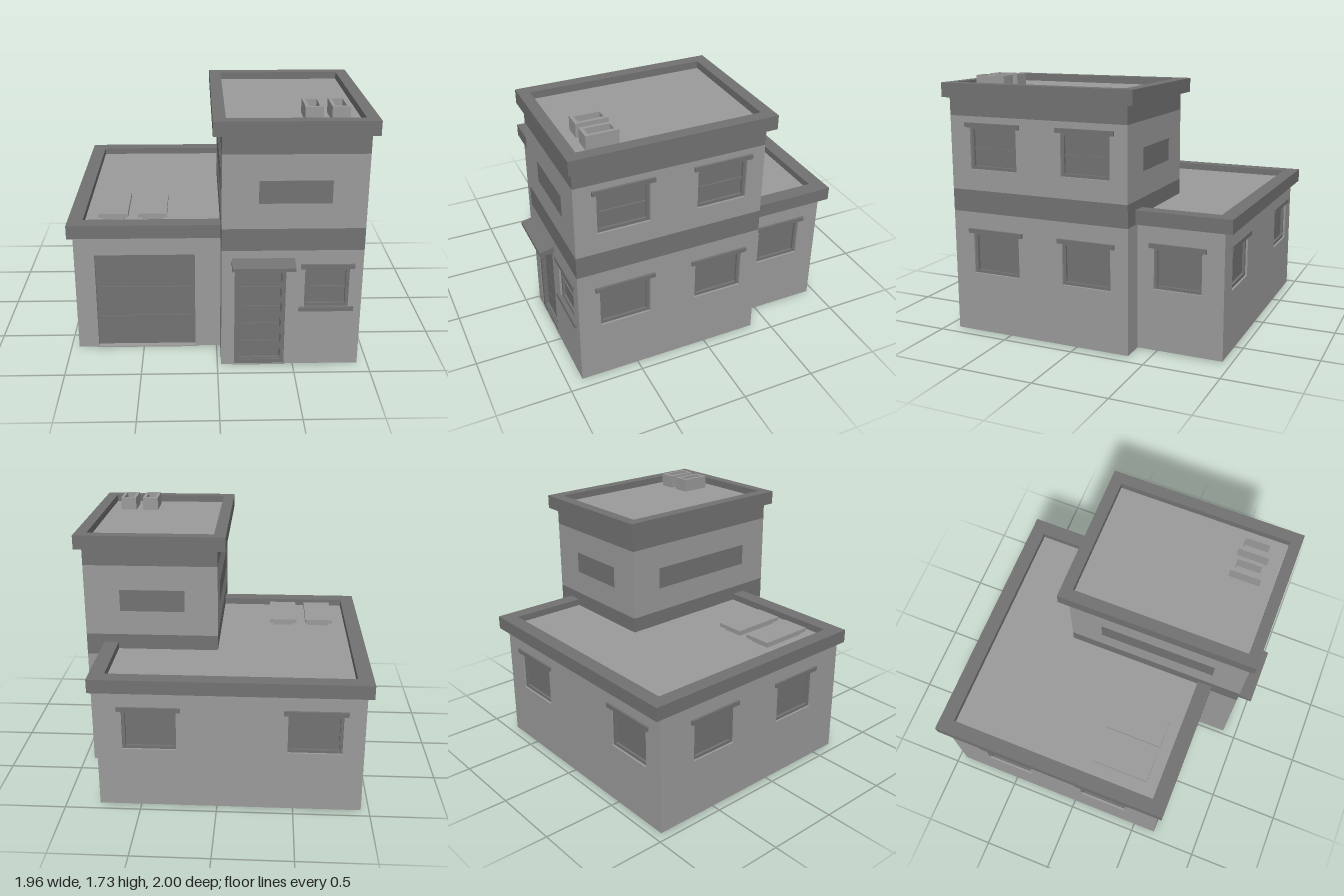
import * as THREE from 'three';

const mat = (name, color) => {
  const m = new THREE.MeshStandardMaterial({ color, side: THREE.DoubleSide });
  m.name = name;
  return m;
};

export function createModel() {
  const light = mat('light grey', 0x9a9a9a);
  const dark = mat('dark grey', 0x727272);
  const house = new THREE.Group();
  house.name = 'house';

  const add = (parent, name, geometry, material) => {
    const mesh = new THREE.Mesh(geometry, material);
    mesh.name = name;
    parent.add(mesh);
    return mesh;
  };
  // Box given by its min and max on each axis
  const box = (parent, name, x0, x1, y0, y1, z0, z1, material) => {
    const g = new THREE.BoxGeometry(x1 - x0, y1 - y0, z1 - z0);
    g.translate((x0 + x1) / 2, (y0 + y1) / 2, (z0 + z1) / 2);
    return add(parent, name, g, material);
  };
  // Rectangles are [u0, u1, v0, v1]
  const rect = (r, Type = THREE.Shape) => new Type([[r[0], r[2]], [r[1], r[2]], [r[1], r[3]], [r[0], r[3]]]
    .map(([a, b]) => new THREE.Vector2(a, b)));
  const holed = (outer, holes) => {
    const s = rect(outer);
    for (const h of holes) s.holes.push(rect(h, THREE.Path));
    return s;
  };
  const ring = (outer, inner, z0, depth) => {
    const g = new THREE.ExtrudeGeometry(holed(outer, [inner]), { depth, bevelEnabled: false });
    return g.translate(0, 0, z0);
  };
  const grow = (r, d) => [r[0] - d, r[1] + d, r[2] - d, r[3] + d];

  // A side faces local +z; u runs along local x
  const side = (name, turn, distance) => {
    const g = new THREE.Group();
    g.name = name;
    g.rotation.y = turn * Math.PI / 2;
    const out = new THREE.Vector3(0, 0, distance).applyEuler(g.rotation);
    g.position.copy(out);
    house.add(g);
    return g;
  };
  const wall = (s, r, holes, material = light) =>
    add(s, material === dark ? 'wallBand' : 'wall', new THREE.ShapeGeometry(holed(r, holes)), material);
  const reveal = (s, r) => add(s, 'reveal', ring(grow(r, 0.008), r, -0.04, 0.039), light);

  // Recessed window with frame, glass and lintel
  const windowUnit = (s, r, { bar = false, sill = false } = {}) => {
    const [a, b, c, d] = r;
    reveal(s, r);
    add(s, 'windowFrame', ring(r, grow(r, -0.02), -0.035, 0.02), dark);
    box(s, 'windowGlass', a, b, c, d, -0.04, -0.032, dark);
    if (bar) box(s, 'windowBar', a + 0.02, b - 0.02, (c + d) / 2 - 0.012, (c + d) / 2, -0.033, -0.022, dark);
    box(s, 'lintel', a - 0.03, b + 0.03, d - 0.002, d + 0.028, -0.03, 0.015, dark);
    if (sill) box(s, 'windowSill', a - 0.035, b + 0.035, c - 0.026, c + 0.002, -0.03, 0.015, dark);
  };
  const strip = (s, r) => box(s, 'windowStrip', ...r, -0.003, 0.002, dark);
  // Door leaf of stacked panels with fine grooves
  const panels = (s, name, r, seams, z) => {
    box(s, name + 'Back', ...r, z - 0.01, z, dark);
    const ys = [r[2], ...seams, r[3]];
    for (let i = 0; i + 1 < ys.length; i++)
      box(s, name + 'Panel', r[0], r[1], ys[i] + 0.003, ys[i + 1] - 0.001, z, z + 0.008, dark);
  };

  // Tower walls: lower floor, band, upper floor, band
  const tower = (name, turn, dist, u0, u1, low = [], high = []) => {
    const s = side(name, turn, dist);
    wall(s, [u0, u1, 0, 0.83], low);
    wall(s, [u0, u1, 0.83, 0.98], [], dark);
    wall(s, [u0, u1, 0.98, 1.47], high);
    wall(s, [u0, u1, 1.47, 1.59], [], dark);
    return s;
  };
  const door = [0.11, 0.44, 0.001, 0.73];
  const frontWindow = [0.56, 0.845, 0.425, 0.705];
  const front = tower('towerFront', 0, 0.9, 0.025, 0.93, [door, frontWindow]);
  windowUnit(front, frontWindow, { bar: true, sill: true });
  strip(front, [0.255, 0.71, 1.15, 1.3]);

  const cols = [[-0.755, -0.41], [-0.09, 0.25]];
  const lows = cols.map(c => [...c, 0.41, 0.69]);
  const highs = cols.map(c => [...c, 1.12, 1.4]);
  const left = tower('towerLeft', 1, 0.93, -0.9, 0.37, lows, highs);
  lows.forEach(r => windowUnit(left, r));
  highs.forEach(r => windowUnit(left, r, { bar: true }));
  strip(tower('towerBack', 2, 0.37, -0.93, -0.025), [-0.69, -0.25, 1.15, 1.3]);
  strip(tower('towerRight', -1, -0.025, -0.37, 0.9), [-0.14, 0.68, 1.15, 1.3]);

  // Front door with frame and sloping canopy
  reveal(front, door);
  add(front, 'doorFrame', ring(door, [0.145, 0.415, 0.03, 0.7], -0.035, 0.03), dark);
  add(front, 'doorInnerFrame', ring([0.133, 0.427, 0.02, 0.71], [0.15, 0.41, 0.04, 0.69], -0.035, 0.02), dark);
  panels(front, 'door', [0.145, 0.415, 0.03, 0.7], [0.16, 0.29, 0.42, 0.56], -0.04);
  const canopy = new THREE.ExtrudeGeometry(new THREE.Shape(
    [[0, 0.728], [0.1, 0.728], [0.1, 0.752], [0, 0.777]].map(p => new THREE.Vector2(...p))),
  { depth: 0.4, bevelEnabled: false });
  canopy.rotateY(-Math.PI / 2).translate(0.49, 0, 0);
  add(front, 'doorCanopy', canopy, dark);

  // Garage wing walls
  const garage = (name, turn, dist, u0, u1, holes) => {
    const s = side(name, turn, dist);
    wall(s, [u0, u1, 0, 0.83], holes);
    return s;
  };
  const gate = [-0.81, -0.145, 0.001, 0.695];
  const gFront = garage('garageFront', 0, 0.665, -0.945, 0.775, [gate]);
  reveal(gFront, gate);
  panels(gFront, 'garageDoor', gate, [0.225, 0.445], -0.04);
  const sides = [
    ['garageLeft', 1, 0.775, -0.665, 0.945, [[0.48, 0.8]]],
    ['garageBack', 2, 0.945, -0.775, 0.945, [[-0.61, -0.26], [0.455, 0.805]]],
    ['garageRight', -1, 0.945, -0.945, 0.665, [[-0.675, -0.33], [0.07, 0.415]]],
  ];
  for (const [name, turn, dist, u0, u1, spans] of sides) {
    const holes = spans.map(c => [...c, 0.41, 0.685]);
    const s = garage(name, turn, dist, u0, u1, holes);
    holes.forEach(r => windowUnit(s, r));
  }

  // Flat roofs: parapet ring, slab and light deck; rectangles are x and z
  const roof = (name, outer, inner, y0, y1) => {
    const flip = r => [r[0], r[1], -r[3], -r[2]];
    const g = new THREE.Group();
    g.name = name;
    house.add(g);
    add(g, 'parapet', ring(flip(outer), flip(inner), y0, y1 - y0).rotateX(-Math.PI / 2), dark);
    box(g, 'roofSlab', inner[0], inner[1], y0, y0 + 0.03, inner[2], inner[3], dark);
    box(g, 'roofDeck', inner[0], inner[1], y0 + 0.03, y0 + 0.045, inner[2], inner[3], light);
  };
  roof('garageRoof', [-0.98, 0.81, -1, 0.7], [-0.88, 0.71, -0.9, 0.595], 0.83, 0.922);
  roof('towerRoof', [-0.03, 0.975, -0.42, 0.93], [0.05, 0.895, -0.34, 0.855], 1.59, 1.685);

  // Skylights on the garage roof
  for (const x of [-0.785, -0.525]) {
    box(house, 'skylightBase', x + 0.025, x + 0.17, 0.87, 0.905, 0.15, 0.48, light);
    box(house, 'skylightTop', x, x + 0.195, 0.9, 0.927, 0.12, 0.512, light);
  }
  // Hollow chimneys on the tower roof
  for (const x of [0.537, 0.702]) {
    const g = ring([x, x + 0.113, -0.765, -0.555], [x + 0.022, x + 0.091, -0.742, -0.578], 1.63, 0.097);
    add(house, 'chimney', g.rotateX(-Math.PI / 2), light);
  }
  return house;
}
